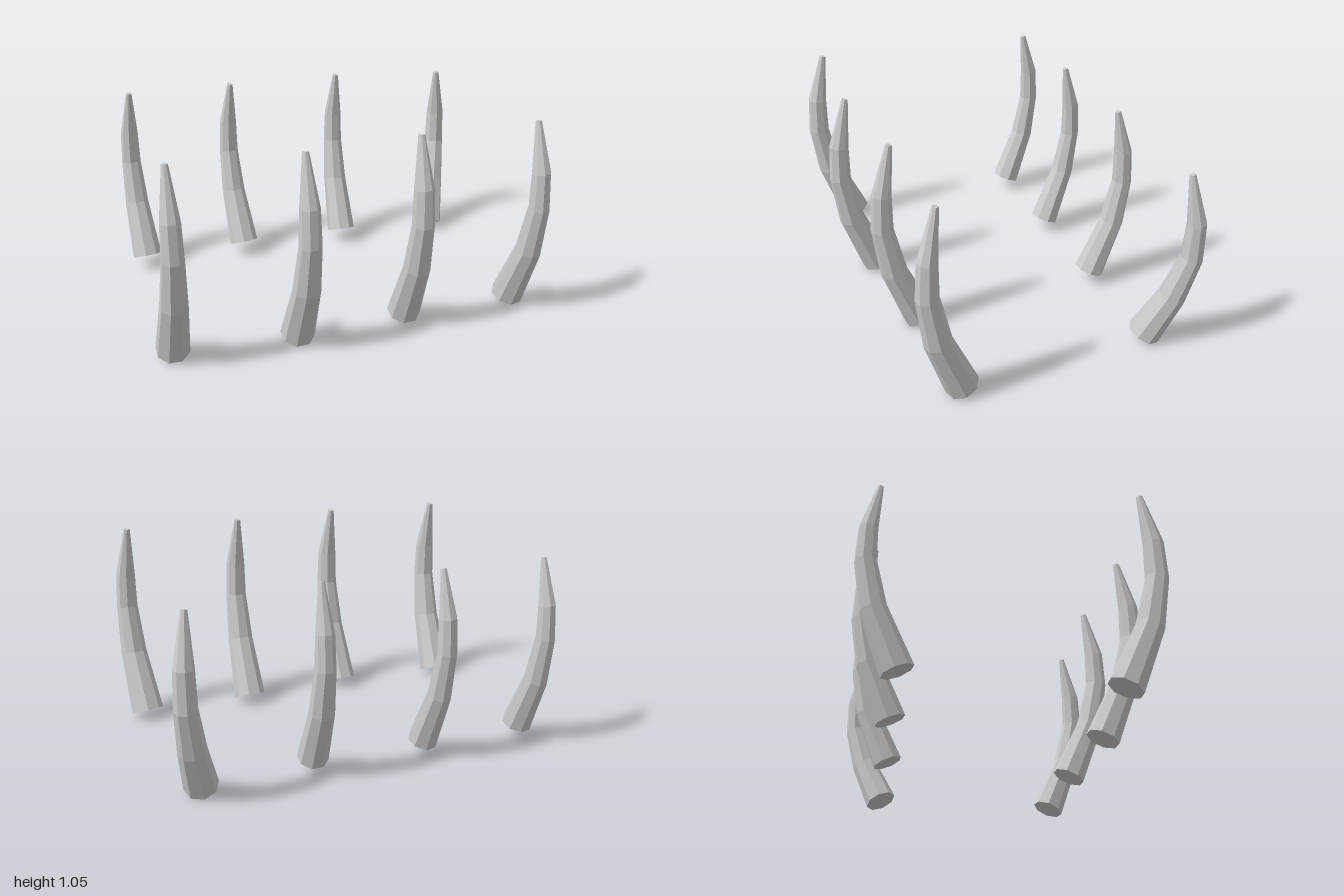
import * as THREE from 'three';

const SIDES = 8;

// Centreline stations: [forward offset, height, radius]
const gentle = [[0, 0, 0.086], [0.13, 0.31, 0.069], [0.18, 0.565, 0.056], [0.175, 0.75, 0.05], [0.125, 1.01, 0.016]];
const bent = [[0, 0, 0.086], [0.12, 0.235, 0.07], [0.195, 0.465, 0.056], [0.2, 0.655, 0.05], [0.155, 0.915, 0.016]];

// Curved, tapering octagonal horn lofted through tilted rings, leaning toward +z
function hornGeometry(stations) {
  const pos = [], idx = [];
  const last = stations.length - 1;
  stations.forEach(([d, h, r], i) => {
    const a = stations[Math.max(i - 1, 0)], b = stations[Math.min(i + 1, last)];
    const tilt = Math.atan2(b[0] - a[0], b[1] - a[1]);
    for (let s = 0; s < SIDES; s++) {
      const t = ((s + 0.5) / SIDES) * Math.PI * 2;
      const u = r * Math.cos(t);
      pos.push(r * Math.sin(t), h - u * Math.sin(tilt), d + u * Math.cos(tilt));
    }
  });
  // side walls
  for (let i = 0; i < last; i++) {
    for (let s = 0; s < SIDES; s++) {
      const a = i * SIDES + s, b = i * SIDES + ((s + 1) % SIDES);
      idx.push(a, b, b + SIDES, a, b + SIDES, a + SIDES);
    }
  }
  // base and tip caps
  const top = last * SIDES;
  for (let s = 1; s < SIDES - 1; s++) {
    idx.push(0, s + 1, s);
    idx.push(top, top + s, top + s + 1);
  }
  const indexed = new THREE.BufferGeometry();
  indexed.setAttribute('position', new THREE.Float32BufferAttribute(pos, 3));
  indexed.setIndex(idx);
  const g = indexed.toNonIndexed();
  g.computeVertexNormals();
  return g;
}

export function createModel() {
  const group = new THREE.Group();
  group.name = 'horns';
  const material = new THREE.MeshStandardMaterial({ color: 0xcccccc, flatShading: true });
  const gentleHorn = hornGeometry(gentle);
  const bentHorn = hornGeometry(bent);

  // name, geometry, base position, heading about y, scale
  const horns = [
    ['frontHorn1', gentleHorn, [-0.92, 0.035, 0.475], 0, 1],
    ['frontHorn2', gentleHorn, [-0.302, 0.035, 0.522], 0.08, 1],
    ['frontHorn3', gentleHorn, [0.288, 0.035, 0.475], 0.06, 1],
    ['frontHorn4', gentleHorn, [0.887, 0.035, 0.475], 0.25, 1],
    ['backHorn1', gentleHorn, [-0.88, 0.07, -0.52], Math.PI + 0.18, 0.92],
    ['backHorn2', gentleHorn, [-0.312, 0.07, -0.525], Math.PI + 0.2, 0.92],
    ['backHorn3', gentleHorn, [0.288, 0.07, -0.51], Math.PI, 0.92],
    ['backHorn4', bentHorn, [0.86, 0.035, -0.522], Math.PI - 0.53, 1],
  ];
  for (const [name, geometry, base, heading, scale] of horns) {
    const horn = new THREE.Mesh(geometry, material);
    horn.name = name;
    horn.position.set(...base);
    horn.rotation.y = heading;
    horn.scale.setScalar(scale);
    group.add(horn);
  }
  return group;
}
